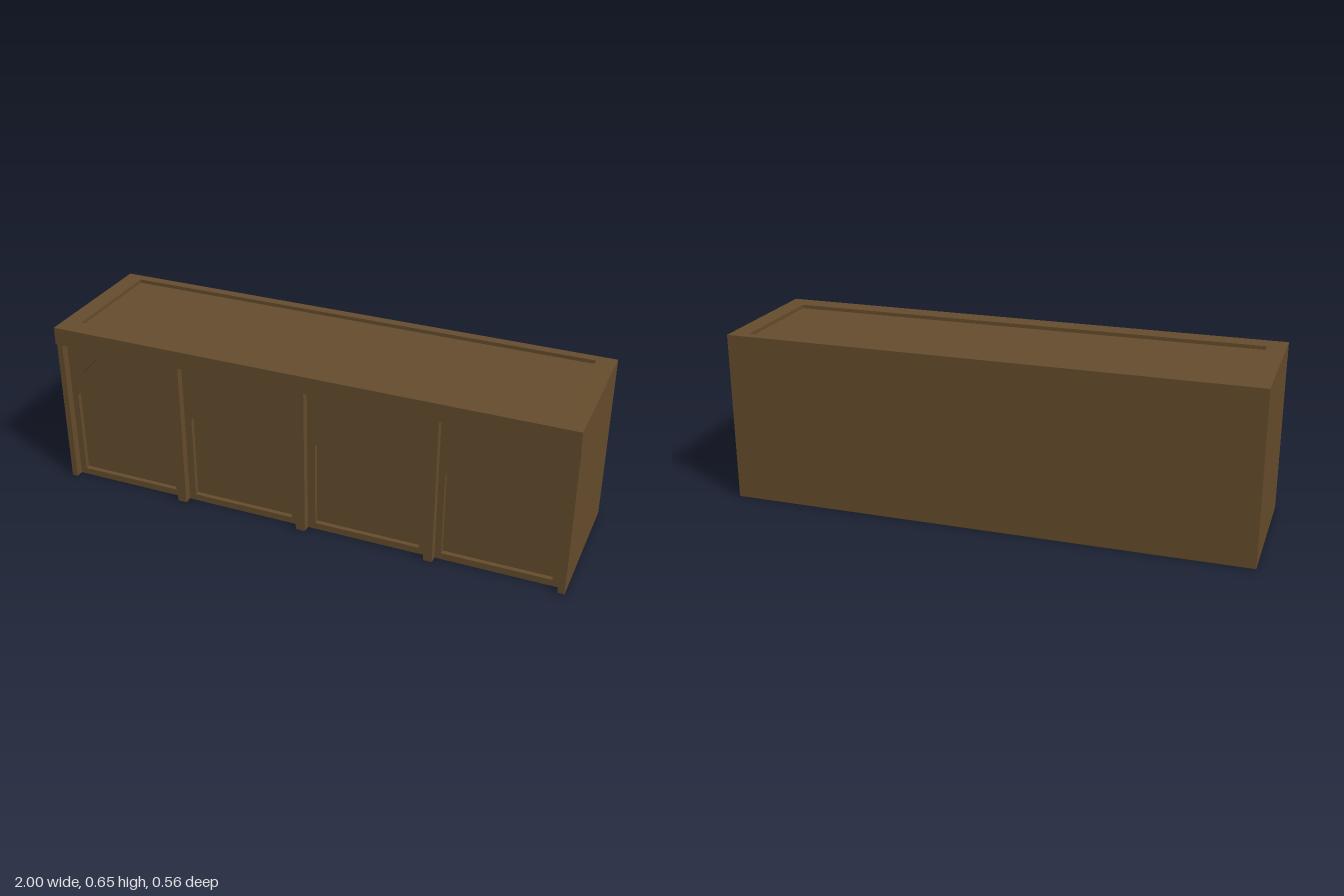
import * as THREE from 'three';

const wood = new THREE.MeshStandardMaterial({ color: 0x664d2d });
wood.name = 'brown wood';

const BACK = -0.278, FRONT = 0.278, TOP = 0.655, CORNICE_Y = 0.587;
const RECESS_Z = 0.222, FACE_Z = 0.24, PILASTER_Z = 0.27, TOP_RECESS = 0.014;

export function createModel() {
  const group = new THREE.Group();

  const add = (name, geometry) => {
    const mesh = new THREE.Mesh(geometry, wood);
    mesh.name = name;
    group.add(mesh);
    return mesh;
  };
  // Box given by its lower and upper limits
  const box = (name, x0, x1, y0, y1, z0, z1) =>
    add(name, new THREE.BoxGeometry(x1 - x0, y1 - y0, z1 - z0))
      .position.set((x0 + x1) / 2, (y0 + y1) / 2, (z0 + z1) / 2);
  const outline = (x0, x1, y0, y1) =>
    [[x0, y0], [x1, y0], [x1, y1], [x0, y1]].map(p => new THREE.Vector2(...p));

  // Carcass, its front forms the sunken panels
  box('body', -1, 1, 0, CORNICE_Y, BACK, RECESS_Z);

  // Front board with four faceted arch openings
  const board = new THREE.Shape(outline(-1, 1, 0, CORNICE_Y));
  const half = [[0.204, 0.026], [0.204, 0.357], [0.173, 0.46], [0.1, 0.536]];
  const arch = [...half, [0, 0.56], ...half.map(([x, y]) => [-x, y]).reverse()];
  for (const cx of [-0.748, -0.253, 0.25, 0.743])
    board.holes.push(new THREE.Path(arch.map(([x, y]) => new THREE.Vector2(cx + x, y))));
  add('archedFront', new THREE.ExtrudeGeometry(board, { depth: FACE_Z - RECESS_Z, bevelEnabled: false }))
    .position.z = RECESS_Z;

  // Pilasters between the arches
  for (const [x0, x1] of [[-1, -0.977], [-0.52, -0.485], [-0.021, 0.016], [0.482, 0.515], [0.975, 1]])
    box('pilaster', x0, x1, 0, CORNICE_Y, FACE_Z, PILASTER_Z);

  // Cornice slab and the raised rim around the sunken top
  box('cornice', -1, 1, CORNICE_Y, TOP - TOP_RECESS, BACK, FRONT);
  const rim = new THREE.Shape(outline(-1, 1, -FRONT, -BACK));
  rim.holes.push(new THREE.Path(outline(-0.93, 0.928, -0.2, 0.241)));
  const rimMesh = add('topRim', new THREE.ExtrudeGeometry(rim, { depth: TOP_RECESS, bevelEnabled: false }));
  rimMesh.rotation.x = -Math.PI / 2;
  rimMesh.position.y = TOP - TOP_RECESS;

  return group;
}
